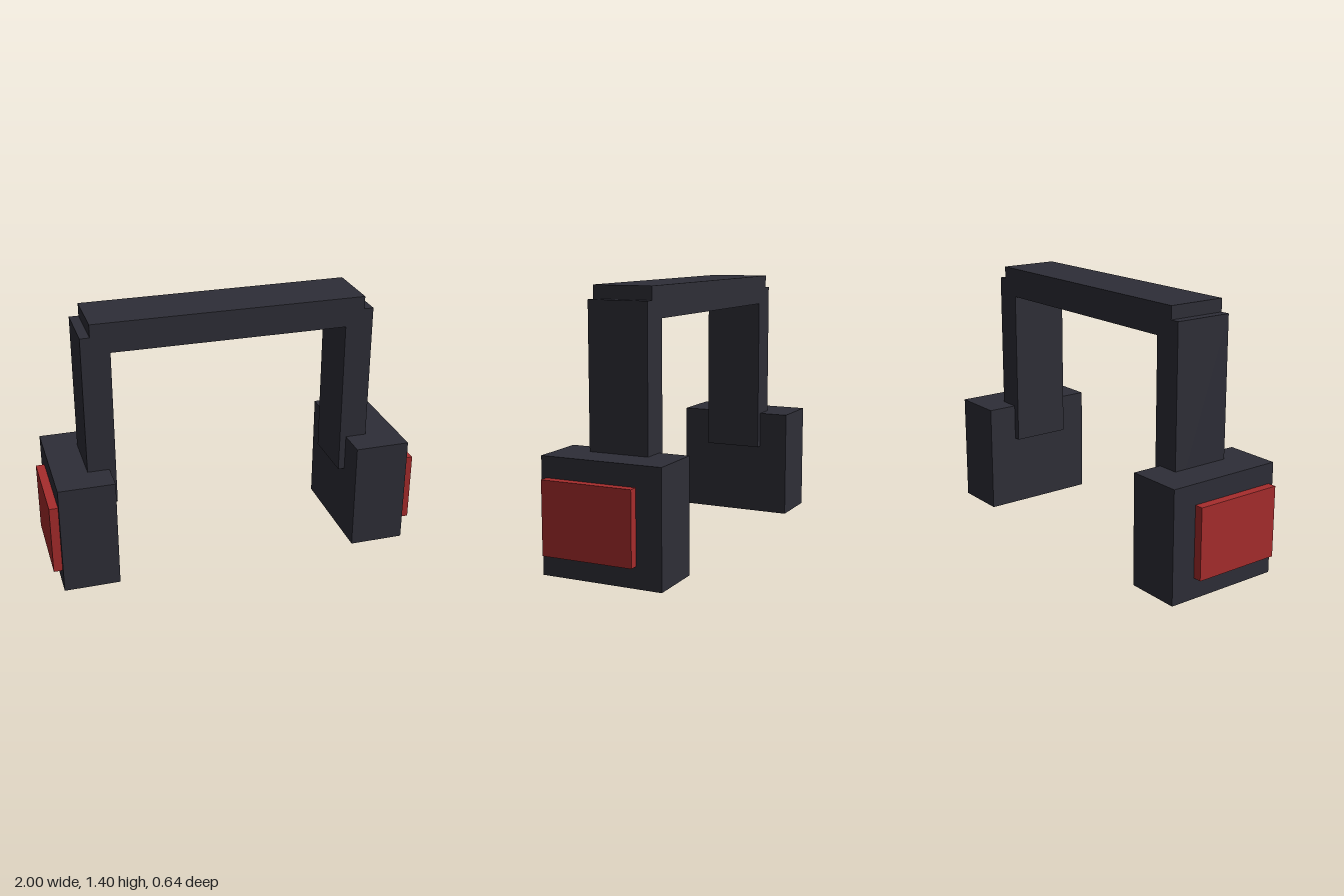
import * as THREE from 'three';

export function createModel() {
  const group = new THREE.Group();
  group.name = 'headphones';

  const charcoal = new THREE.MeshStandardMaterial({ color: 0x2e2e37 });
  charcoal.name = 'charcoal';
  const red = new THREE.MeshStandardMaterial({ color: 0xa62c2c });
  red.name = 'red';

  // Box given by its minimum and maximum on each axis
  function addBox(name, material, [x0, x1], [y0, y1], [z0, z1]) {
    const mesh = new THREE.Mesh(new THREE.BoxGeometry(Math.abs(x1 - x0), y1 - y0, z1 - z0), material);
    mesh.position.set((x0 + x1) / 2, (y0 + y1) / 2, (z0 + z1) / 2);
    mesh.name = name;
    group.add(mesh);
  }

  // Band across the top
  addBox('headband', charcoal, [-0.723, 0.723], [1.24, 1.398], [-0.16, 0.16]);

  // Arm, ear cup and outer panel on each side
  for (const [side, s] of [['left', 1], ['right', -1]]) {
    addBox(side + 'Arm', charcoal, [s * 0.623, s * 0.773], [0.395, 1.33], [-0.16, 0.16]);
    addBox(side + 'EarCup', charcoal, [s * 0.658, s * 0.954], [0, 0.592], [-0.322, 0.322]);
    addBox(side + 'OuterPanel', red, [s * 0.94, s], [0.11, 0.485], [-0.188, 0.296]);
  }

  return group;
}
